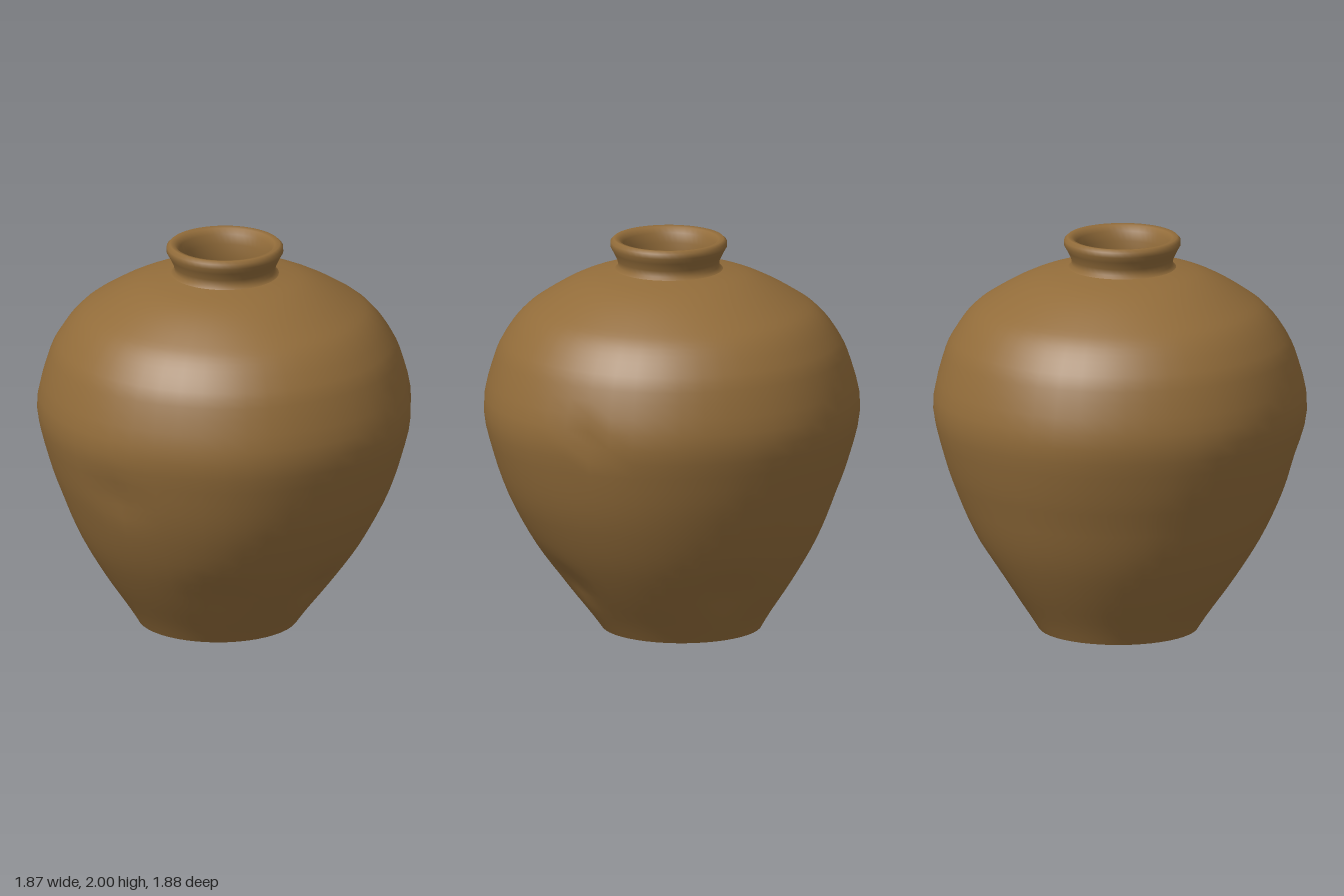
import * as THREE from 'three';
import { mergeVertices } from 'three/addons/utils/BufferGeometryUtils.js';

const SIDES = 48;
const clay = new THREE.MeshStandardMaterial({ color: 0x926c3a, side: THREE.DoubleSide });
clay.name = 'brown clay';

// Soft dents pressed into the wall: centre, reach, depth
const dents = [
  { at: [0.64, 1.15, 0.64], reach: 0.07, depth: 0.035 },
  { at: [0.1, 0.28, 0.58], reach: 0.12, depth: 0.035 },
  { at: [-0.45, 0.3, 0.42], reach: 0.14, depth: 0.02 },
  { at: [-0.88, 0.88, 0.1], reach: 0.12, depth: 0.02 },
  { at: [0.6, 0.3, -0.1], reach: 0.15, depth: 0.02 },
].map((d) => ({ ...d, at: new THREE.Vector3(...d.at) }));

// Hand-made unevenness: leaning foot, wavering wall, off-centre neck, dents
function shape(v) {
  const angle = Math.atan2(v.x, v.z);
  const belly = Math.max(0, 1 - Math.abs(v.y - 1) / 0.85);
  const k = 1 + belly * (0.006 * Math.sin(3 * angle + 1) + 0.005 * Math.sin(7 * angle));
  v.x *= k * (1 - 0.01 * belly);
  v.z *= k;
  v.z -= 0.055 * Math.max(0, 1 - v.y / 0.7);
  const neck = THREE.MathUtils.smoothstep(v.y, 1.6, 1.9);
  v.x -= 0.014 * neck;
  v.z += 0.01 * neck;
  for (const d of dents) {
    const push = d.depth * Math.exp(-v.distanceToSquared(d.at) / (d.reach * d.reach));
    const r = Math.hypot(v.x, v.z) || 1;
    v.x -= (v.x / r) * push;
    v.z -= (v.z / r) * push;
  }
}

function turned(name, points) {
  let geo = new THREE.LatheGeometry(points, SIDES);
  geo.deleteAttribute('uv');
  geo.deleteAttribute('normal');
  const pos = geo.attributes.position;
  const v = new THREE.Vector3();
  for (let i = 0; i < pos.count; i++) {
    v.fromBufferAttribute(pos, i);
    shape(v);
    pos.setXYZ(i, v.x, v.y, v.z);
  }
  geo = mergeVertices(geo, 1e-4);
  geo.computeVertexNormals();
  const mesh = new THREE.Mesh(geo, clay);
  mesh.name = name;
  return mesh;
}

const pts = (list) => list.map(([r, y]) => new THREE.Vector2(r, y));

export function createModel() {
  const jar = new THREE.Group();
  jar.name = 'clay jar';

  // Belly and shoulder
  const wall = new THREE.SplineCurve(pts([
    [0.4, 0.01], [0.46, 0.1], [0.59, 0.28], [0.71, 0.47], [0.81, 0.68], [0.89, 0.9],
    [0.943, 1.15], [0.885, 1.4], [0.825, 1.52], [0.745, 1.62], [0.65, 1.69],
    [0.52, 1.765], [0.4, 1.815], [0.27, 1.845],
  ]));
  jar.add(turned('body', wall.getPoints(44)));

  // Flared neck with a rolled rim and inner lip
  jar.add(turned('neck', pts([
    [0.27, 1.845], [0.252, 1.86], [0.256, 1.89], [0.275, 1.93], [0.292, 1.96],
    [0.291, 1.985], [0.275, 2.0], [0.25, 1.995], [0.23, 1.97], [0.22, 1.92],
    [0.215, 1.86], [0.22, 1.81],
  ])));

  // Foot ring and hollowed base
  jar.add(turned('base', pts([
    [0, 0.09], [0.14, 0.085], [0.26, 0.06], [0.33, 0.015], [0.36, 0], [0.4, 0.01],
  ])));

  return jar;
}
